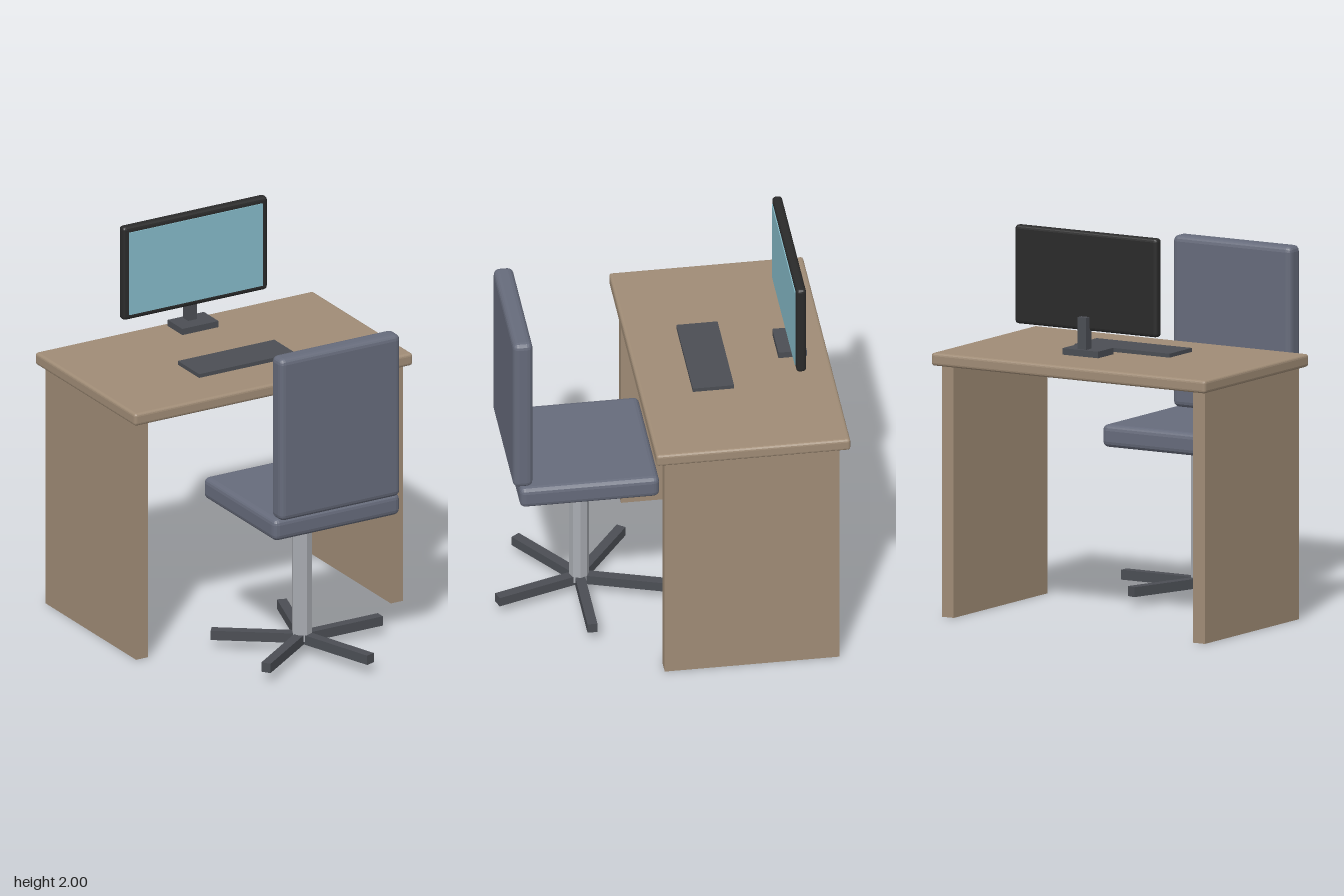
import * as THREE from 'three';
import { RoundedBoxGeometry } from 'three/addons/geometries/RoundedBoxGeometry.js';

const paint = (name, color, flatShading = true) => {
  const m = new THREE.MeshStandardMaterial({ color });
  m.name = name;
  m.flatShading = flatShading;
  return m;
};

export function createModel() {
  const wood = paint('wood', 0xa08c76);
  const fabric = paint('fabric', 0x666b7b);
  const metal = paint('metal', 0xa9acb2);
  const darkGrey = paint('dark grey', 0x4b4e54);
  const black = paint('black', 0x2a2a2a);
  const glass = paint('screen blue', 0x86bbc9);

  const model = new THREE.Group();
  model.name = 'workstation';
  const group = (name) => {
    const g = new THREE.Group();
    g.name = name;
    model.add(g);
    return g;
  };

  // Box given by its extents on each axis; a radius softens the edges
  const box = (parent, name, material, [x0, x1], [y0, y1], [z0, z1], radius = 0) => {
    const size = [x1 - x0, y1 - y0, z1 - z0];
    const geometry = radius
      ? new RoundedBoxGeometry(...size, 2, radius)
      : new THREE.BoxGeometry(...size);
    const mesh = new THREE.Mesh(geometry, material);
    mesh.name = name;
    mesh.position.set((x0 + x1) / 2, (y0 + y1) / 2, (z0 + z1) / 2);
    parent.add(mesh);
    return mesh;
  };

  // Desk: top on two side panels
  const desk = group('desk');
  box(desk, 'deskTop', wood, [-0.808, 0.808], [1.275, 1.34], [-0.847, 0.133], 0.015);
  box(desk, 'leftPanel', wood, [0.705, 0.775], [0, 1.275], [-0.795, 0.087]);
  box(desk, 'rightPanel', wood, [-0.775, -0.705], [0, 1.275], [-0.795, 0.087]);

  // Keyboard
  box(model, 'keyboard', darkGrey, [-0.28, 0.28], [1.34, 1.36], [-0.337, -0.129]);

  // Monitor with its stand
  const monitor = group('monitor');
  box(monitor, 'monitorFrame', black, [-0.42, 0.42], [1.5, 2], [-0.682, -0.632], 0.018);
  box(monitor, 'screen', glass, [-0.388, 0.388], [1.528, 1.97], [-0.633, -0.627]);
  box(monitor, 'standNeck', darkGrey, [-0.025, 0.025], [1.4, 1.572], [-0.715, -0.665]);
  box(monitor, 'standBase', darkGrey, [-0.105, 0.105], [1.377, 1.41], [-0.73, -0.587]);

  // Chair: cushions on an eight-sided column
  const chair = group('chair');
  const chairZ = 0.404;
  box(chair, 'seat', fabric, [-0.367, 0.367], [0.775, 0.89], [0.05, 0.755], 0.03);
  box(chair, 'backrest', fabric, [-0.35, 0.35], [0.89, 1.76], [0.687, 0.787], 0.03);
  const column = new THREE.Mesh(new THREE.CylinderGeometry(0.051, 0.051, 0.715, 8), metal);
  column.name = 'column';
  column.position.set(0, 0.4225, chairZ);
  chair.add(column);

  // Five feet spread around the column
  const foot = new THREE.BoxGeometry(0.455, 0.05, 0.05).translate(0.2275, 0, 0);
  for (let i = 0; i < 5; i++) {
    const mesh = new THREE.Mesh(foot, darkGrey);
    mesh.name = 'foot' + (i + 1);
    mesh.position.set(0, 0.075, chairZ);
    mesh.rotation.y = (i * Math.PI * 2) / 5;
    chair.add(mesh);
  }

  return model;
}
